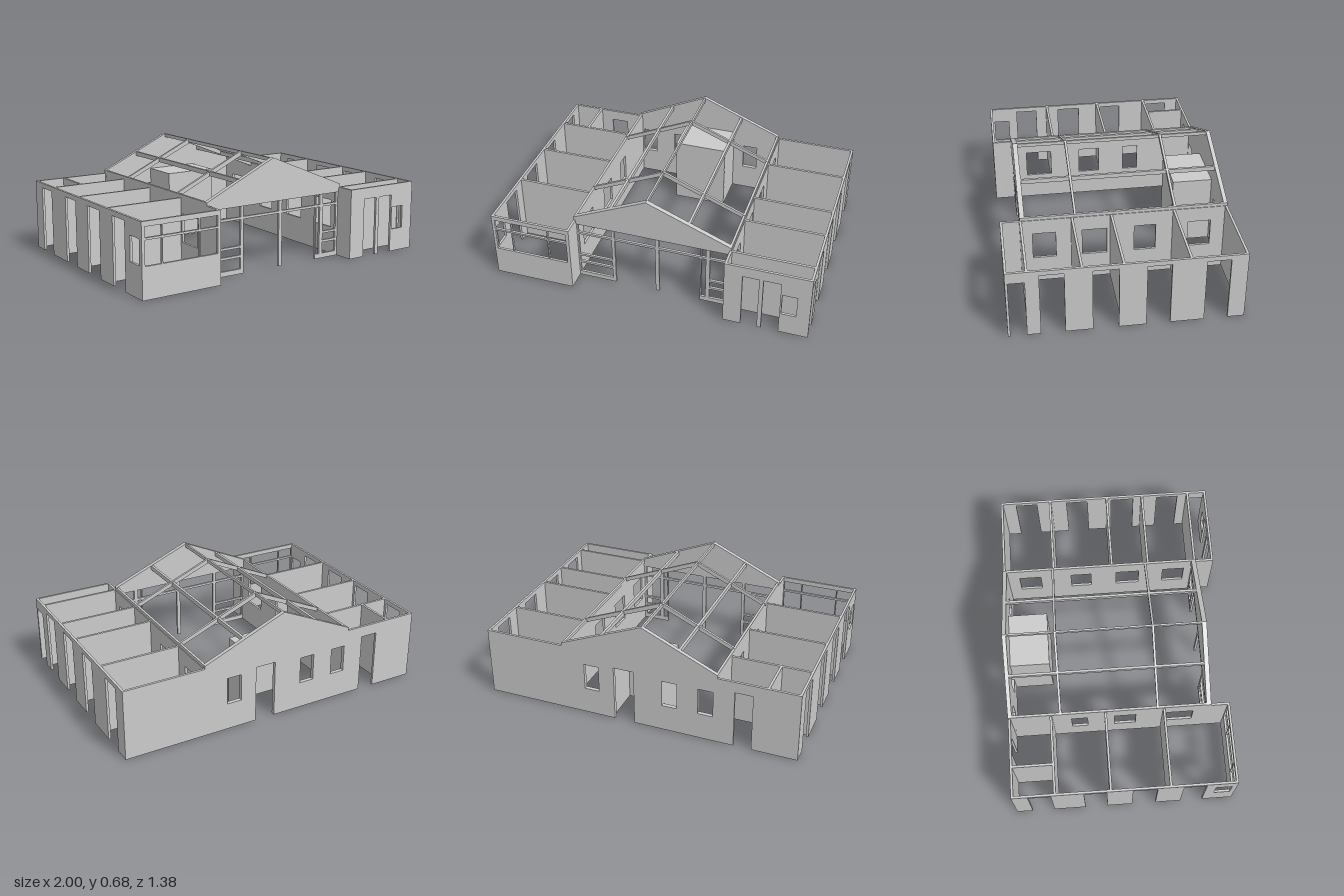
import * as THREE from 'three';

const H = 0.44;       // wall height
const T = 0.015;      // wall thickness
const RIDGE_X = -0.035, RIDGE_Y = 0.675, EAVE_L = -0.505, EAVE_R = 0.49, EAVE_Y = 0.46;

// Height of the roof line at x
const roofY = (x) => x < RIDGE_X
  ? EAVE_Y + (RIDGE_Y - EAVE_Y) * (x - EAVE_L) / (RIDGE_X - EAVE_L)
  : EAVE_Y + (RIDGE_Y - EAVE_Y) * (EAVE_R - x) / (EAVE_R - RIDGE_X);

export function createModel() {
  const model = new THREE.Group();
  const material = new THREE.MeshStandardMaterial({ color: 0xcccccc });

  function add(name, geometry) {
    const mesh = new THREE.Mesh(geometry, material);
    mesh.name = name;
    model.add(mesh);
    return mesh;
  }

  function beam(name, x0, x1, y0, y1, z0, z1) {
    add(name, new THREE.BoxGeometry(x1 - x0, y1 - y0, z1 - z0))
      .position.set((x0 + x1) / 2, (y0 + y1) / 2, (z0 + z1) / 2);
  }

  // Wall outline from a to b; openings [u0, u1, y0, y1] with y0 = 0 are notched as doors
  function wallGeometry(a, b, openings, top, thickness) {
    const doors = openings.filter((o) => o[2] === 0).sort((p, q) => p[0] - q[0]);
    const points = [[a, 0]];
    for (const [u0, u1, , y1] of doors) points.push([u0, 0], [u0, y1], [u1, y1], [u1, 0]);
    points.push([b, 0], ...top);
    const shape = new THREE.Shape(points.map((p) => new THREE.Vector2(...p)));
    for (const [u0, u1, y0, y1] of openings.filter((o) => o[2] > 0)) {
      shape.holes.push(new THREE.Path([[u0, y0], [u0, y1], [u1, y1], [u1, y0]]
        .map((p) => new THREE.Vector2(...p))));
    }
    const geometry = new THREE.ExtrudeGeometry(shape, { depth: thickness, bevelEnabled: false });
    return geometry.translate(0, 0, -thickness / 2);
  }

  function wallX(name, z, a, b, openings = [], top = [[b, H], [a, H]], thickness = T) {
    add(name, wallGeometry(a, b, openings, top, thickness)).position.z = z;
  }

  function wallZ(name, x, a, b, openings = []) {
    const mesh = add(name, wallGeometry(a, b, openings, [[b, H], [a, H]], T));
    mesh.rotation.y = -Math.PI / 2;
    mesh.position.x = x;
  }

  // Long outer walls with a row of door openings
  const doors = [[0.36, 0.5], [0.05, 0.2], [-0.25, -0.11], [-0.59, -0.45]]
    .map(([a, b]) => [a, b, 0, 0.41]);
  wallZ('leftOuterWall', 1 - T / 2, -0.69, 0.69, [...doors, [0.58, 0.678, 0, 0.37]]);
  wallZ('rightOuterWall', -1 + T / 2, -0.69, 0.69, [...doors, [0.56, 0.66, 0.19, 0.34]]);

  // Walls between the hall and the wings
  const sill = 0.17, head = 0.345;
  wallZ('leftHallWall', 0.487, -0.69, 0.69,
    [[0.36, 0.5], [0.05, 0.2], [-0.25, -0.118], [-0.59, -0.45]].map(([a, b]) => [a, b, sill, head]));
  wallZ('rightHallWall', -0.497, -0.69, 0.69,
    [[0.3, 0.467], [-0.03, 0.105], [-0.3, -0.2]].map(([a, b]) => [a, b, sill, head]));

  // Room partitions
  for (const z of [-0.36, 0.023, -0.26 * -1, 0.567]) wallX('leftWingPartition', z, 0.49, 0.99);
  for (const z of [-0.425, -0.085, 0.28]) wallX('rightWingPartition', z, -0.99, -0.5);
  wallZ('smallRoomPartition', -0.805, -0.685, -0.425);

  // Front of the wings
  wallX('leftWingFront', 0.69 - T / 2, 0.48, 1,
    [[0.59, 0.69, 0, 0.37], [0.715, 0.82, 0, 0.37], [0.83, 0.92, 0.145, 0.29]]);
  const glazed = [];
  for (const [a, b] of [[-0.98, -0.875], [-0.868, -0.635], [-0.628, -0.51]]) {
    glazed.push([a, b, 0.19, 0.335], [a, b, 0.348, 0.41]);
  }
  wallX('rightWingFront', 0.69 - T / 2, -1, -0.49, glazed);

  // Back of the wings
  wallX('leftWingBack', -0.69 + T / 2, 0.48, 1);
  wallX('rightWingBack', -0.69 + T / 2, -1, -0.49, [[-0.72, -0.61, 0, 0.37]]);

  // Back gable wall with door and windows
  const gableTop = [[EAVE_R, EAVE_Y], [RIDGE_X, RIDGE_Y], [EAVE_L, EAVE_Y]];
  wallX('backGableWall', -0.6775, EAVE_L, EAVE_R, [
    [0.02, 0.15, 0, 0.36], [0.25, 0.345, sill, 0.34],
    [-0.255, -0.16, sill, 0.34], [-0.48, -0.385, sill, 0.34],
  ], gableTop, 0.025);

  // Front gable panel
  const gable = new THREE.Shape([[EAVE_L, 0.41], [EAVE_R, 0.41], ...gableTop]
    .map((p) => new THREE.Vector2(...p)));
  add('frontGable', new THREE.ExtrudeGeometry(gable, { depth: 0.03, bevelEnabled: false }))
    .position.z = 0.542;

  // Post and rail frame below the front gable
  const frame = [[-0.245, 0.016, 0, 0.33], [0.04, 0.3, 0, 0.33], [0.308, 0.335, 0.03, 0.33]];
  for (const [a, b] of [[-0.48, -0.265], [0.36, 0.465]]) {
    for (const [y0, y1] of [[0.03, 0.1], [0.115, 0.158], [0.172, 0.33]]) frame.push([a, b, y0, y1]);
  }
  for (const [a, b] of [[-0.48, -0.265], [-0.245, 0.016], [0.04, 0.3], [0.308, 0.335], [0.36, 0.465]]) {
    frame.push([a, b, 0.345, 0.41]);
  }
  wallX('frontFrame', 0.557, -0.495, 0.485, frame, [[0.485, 0.43], [-0.495, 0.43]]);

  // Entrance box behind the back door: sides, inner end and lid
  wallZ('entranceSide', 0.173, -0.67, -0.42);
  wallZ('entranceSide', -0.153, -0.67, -0.42);
  wallX('entranceEnd', -0.425, -0.16, 0.18);
  beam('entranceLid', -0.16, 0.18, 0.425, 0.44, -0.67, -0.42);

  // Ridge, purlins and eave plates
  beam('ridgeBeam', RIDGE_X - 0.006, RIDGE_X + 0.006, 0.65, 0.672, -0.67, 0.55);
  for (const x of [-0.265, 0.225]) {
    beam('purlin', x - 0.008, x + 0.008, roofY(x) - 0.03, roofY(x) - 0.002, -0.67, 0.55);
  }
  for (const x of [-0.497, 0.483]) beam('eavePlate', x - 0.0075, x + 0.0075, H, EAVE_Y, -0.68, 0.57);

  // Rafter pairs
  const d = 0.03;
  const rafters = new THREE.Shape([
    [EAVE_L, EAVE_Y], [EAVE_L, EAVE_Y - 0.02], [EAVE_L + 0.015, EAVE_Y - 0.02],
    [RIDGE_X, RIDGE_Y - d], [EAVE_R - 0.015, EAVE_Y - 0.02], [EAVE_R, EAVE_Y - 0.02],
    [EAVE_R, EAVE_Y], [RIDGE_X, RIDGE_Y],
  ].map((p) => new THREE.Vector2(...p)));
  for (const z of [0.24, -0.365]) {
    add('rafterPair', new THREE.ExtrudeGeometry(rafters, { depth: T, bevelEnabled: false }))
      .position.z = z - T / 2;
  }

  return model;
}
